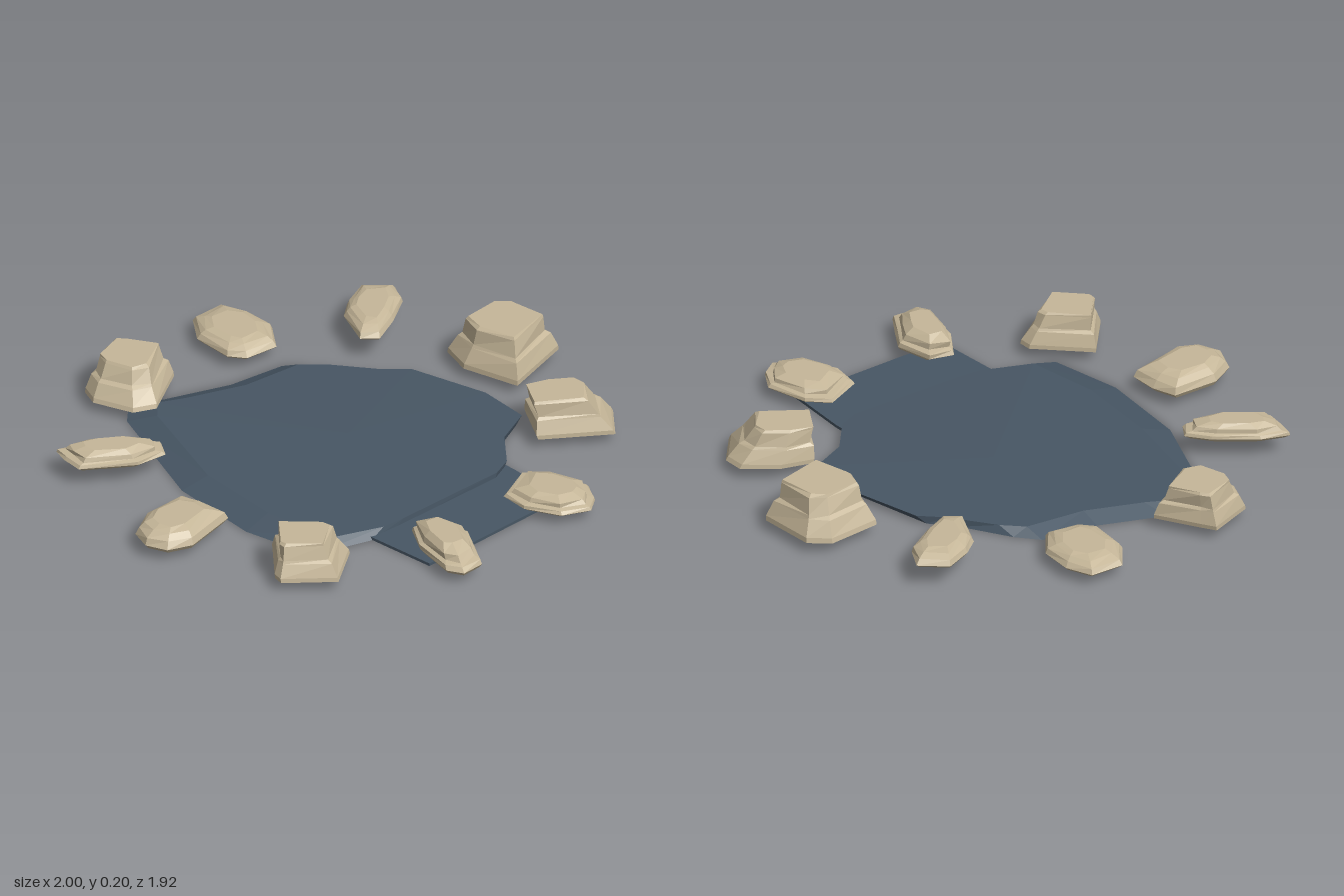
import * as THREE from 'three';

const stone = new THREE.MeshStandardMaterial({ color: 0xc6b799, flatShading: true });
stone.name = 'sandstone';
const slate = new THREE.MeshStandardMaterial({ color: 0x475664, flatShading: true });
slate.name = 'darkWater';

// Order an outline of [x, z] points counter-clockwise seen from above
function orient(outline) {
  let area = 0;
  outline.forEach(([x, z], i) => {
    const [x2, z2] = outline[(i + 1) % outline.length];
    area += x * z2 - x2 * z;
  });
  return area > 0 ? [...outline].reverse() : outline;
}

// Closed faceted solid through stacked rings of [x, y, z]; optional rise of the top centre
function loft(name, rings, material, rise = 0) {
  const tris = [];
  const n = rings[0].length;
  const centre = (ring) => [0, 1, 2].map((k) => ring.reduce((s, p) => s + p[k], 0) / n);
  const low = centre(rings[0]);
  const high = centre(rings[rings.length - 1]);
  high[1] += rise;
  for (let i = 0; i < n; i++) {
    const j = (i + 1) % n;
    for (let r = 0; r < rings.length - 1; r++) {
      const a = rings[r], b = rings[r + 1];
      tris.push(a[i], a[j], b[j], a[i], b[j], b[i]);
    }
    const top = rings[rings.length - 1];
    tris.push(high, top[i], top[j], low, rings[0][j], rings[0][i]);
  }
  const geometry = new THREE.BufferGeometry();
  geometry.setAttribute('position', new THREE.Float32BufferAttribute(tris.flat(), 3));
  geometry.computeVertexNormals();
  const mesh = new THREE.Mesh(geometry, material);
  mesh.name = name;
  return mesh;
}

// Rock profiles: [height fraction, outline scale]
const TALL = [[0, 1], [0.12, 0.99], [0.48, 0.84], [0.56, 0.77], [0.93, 0.69], [1, 0.64]];
const LOW = [[0, 0.9], [0.25, 1], [0.6, 0.92], [0.85, 0.75], [1, 0.55]];
const LEDGE = [[0, 0.88], [0.2, 1], [0.4, 0.96], [0.48, 0.82], [0.75, 0.78], [1, 0.52]];

// Rock: outline, bottom, top, profile and sideways shift of the top
function rock(name, points, y0, y1, profile, dx = 0, dz = 0) {
  const outline = orient(points);
  const cx = outline.reduce((s, p) => s + p[0], 0) / outline.length;
  const cz = outline.reduce((s, p) => s + p[1], 0) / outline.length;
  const rings = profile.map(([t, s], r) => outline.map(([x, z], i) => {
    const wobble = r > 1 ? 0.03 * Math.sin(i * 2.3 + r * 1.7 + cx * 9) : 0;
    const k = s + wobble;
    return [cx + (x - cx) * k + dx * t, y0 + (y1 - y0) * t, cz + (z - cz) * k + dz * t];
  }));
  return loft(name, rings, stone);
}

export function createModel() {
  const group = new THREE.Group();
  group.name = 'stoneRing';

  // Main slab: sloped on its left and back, slightly undercut on the right
  const shore = orient([
    [-0.38, -0.7], [-0.3, -0.77], [-0.18, -0.71], [0.06, -0.61], [0.29, -0.57], [0.36, -0.49],
    [0.47, -0.31], [0.55, -0.22], [0.62, 0.11], [0.6, 0.31], [0.45, 0.37], [0.34, 0.49],
    [0.26, 0.52], [-0.24, 0.5], [-0.35, 0.49], [-0.57, 0.41], [-0.62, 0.13], [-0.58, -0.23],
  ]);
  group.add(loft('poolSlab', [
    shore.map(([x, z]) => [x > 0 ? x * 0.95 : x, 0, z]),
    shore.map(([x, z]) => [x < 0 ? x * 0.82 : x, 0.03, z < 0 ? z * 0.88 : z]),
  ], slate, 0.006));

  // Low step in front of the slab
  const step = orient([[-0.35, 0.42], [0.34, 0.42], [0.34, 0.53], [0.32, 0.78], [0.1, 0.775],
    [-0.16, 0.77], [-0.33, 0.76]]);
  group.add(loft('frontStep', [0, 0.011].map((y) => step.map(([x, z]) => [x, y, z])), slate));

  // Ring of ten rocks
  group.add(
    rock('leftRock', [[0.71, -0.17], [0.92, -0.18], [0.99, -0.12], [1, 0.1], [0.72, 0.17],
      [0.67, -0.05]], 0.04, 0.2, TALL, 0, 0.02),
    rock('frontLeftRock', [[0.61, 0.32], [0.73, 0.36], [0.84, 0.45], [0.84, 0.53], [0.73, 0.65],
      [0.51, 0.48]], 0.04, 0.175, TALL, -0.05, -0.03),
    rock('frontInnerLeftRock', [[0.29, 0.61], [0.36, 0.68], [0.4, 0.84], [0.35, 0.92], [0.29, 0.96],
      [0.19, 0.91], [0.13, 0.78], [0.14, 0.67]], 0.035, 0.095, LEDGE),
    rock('frontInnerRightRock', [[-0.26, 0.61], [-0.17, 0.64], [-0.14, 0.78], [-0.19, 0.86],
      [-0.25, 0.95], [-0.34, 0.95], [-0.37, 0.89], [-0.33, 0.72]], 0.035, 0.12, LEDGE, 0, -0.03),
    rock('frontRightRock', [[-0.68, 0.32], [-0.51, 0.49], [-0.51, 0.54], [-0.68, 0.65],
      [-0.83, 0.51], [-0.82, 0.47]], 0.04, 0.172, TALL, -0.01, -0.02),
    rock('rightRock', [[-0.97, -0.08], [-0.87, -0.13], [-0.69, -0.12], [-0.66, -0.03], [-0.66, 0.08],
      [-0.88, 0.12], [-0.97, 0.08], [-1, 0]], 0.035, 0.11, LOW),
    rock('backRightRock', [[-0.8, -0.64], [-0.7, -0.6], [-0.56, -0.49], [-0.5, -0.41], [-0.54, -0.35],
      [-0.66, -0.37], [-0.83, -0.5], [-0.82, -0.58]], 0.07, 0.13, LEDGE),
    rock('backInnerRightRock', [[-0.39, -0.9], [-0.21, -0.96], [-0.18, -0.91], [-0.09, -0.75],
      [-0.29, -0.64], [-0.37, -0.68], [-0.42, -0.83]], 0.04, 0.177, TALL, 0.03, -0.02),
    rock('backInnerLeftRock', [[0.22, -0.96], [0.35, -0.95], [0.39, -0.85], [0.38, -0.72],
      [0.3, -0.62], [0.17, -0.64], [0.13, -0.7], [0.14, -0.86]], 0.035, 0.09, LOW),
    rock('backLeftRock', [[0.75, -0.64], [0.84, -0.56], [0.79, -0.47], [0.67, -0.4], [0.55, -0.35],
      [0.5, -0.4], [0.57, -0.55], [0.64, -0.6]], 0.075, 0.13, LOW),
  );
  return group;
}
